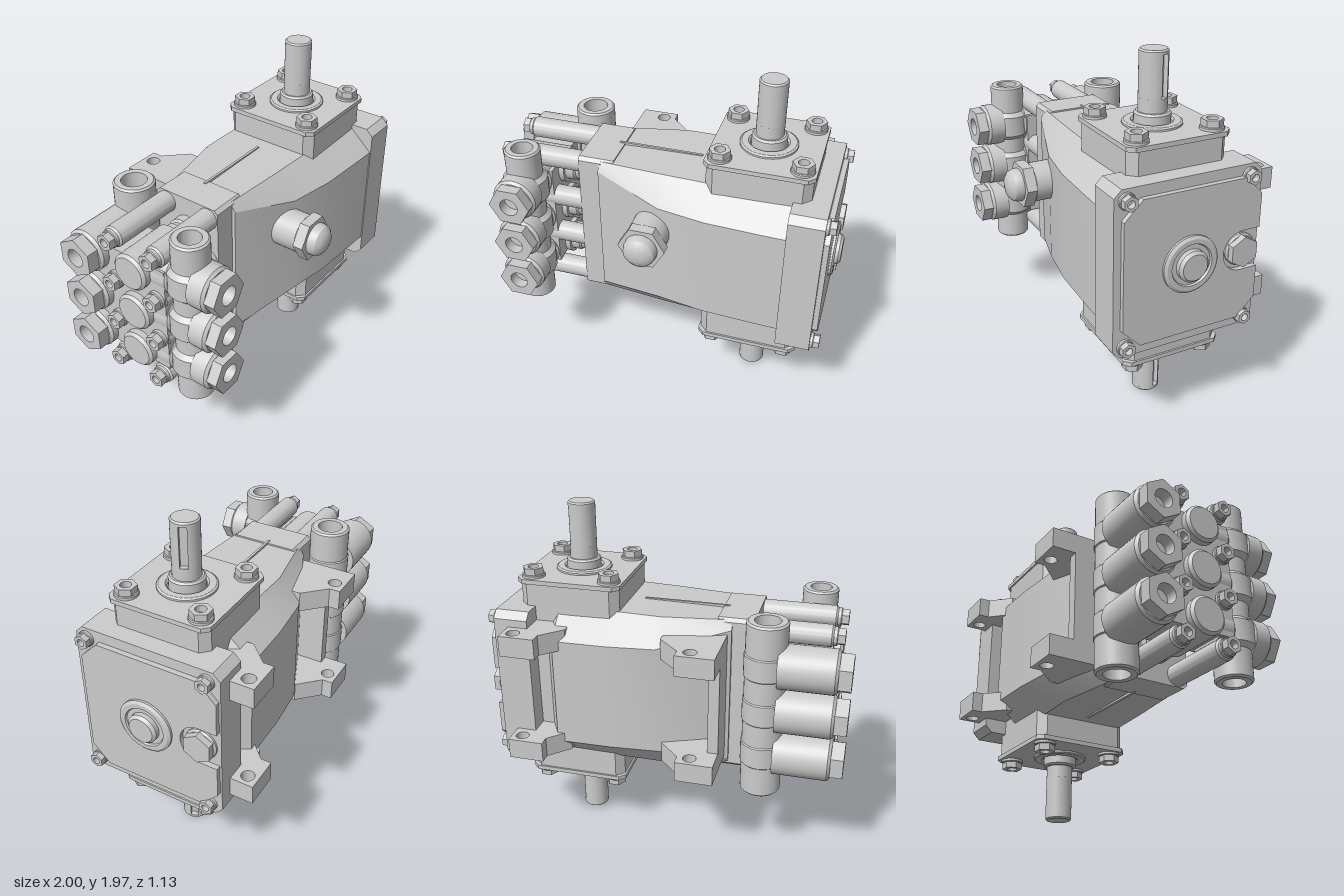
import * as THREE from 'three';
import { toCreasedNormals } from 'three/addons/utils/BufferGeometryUtils.js';

const CY = 0.983; // mid height, the pump is symmetric about it
const ROWS = [CY - 0.26, CY, CY + 0.26];
const mat = new THREE.MeshStandardMaterial({ color: 0xcccccc, side: THREE.DoubleSide });
const UP = new THREE.Vector3(0, 1, 0);
const DIR = { x: [1, 0, 0], '-x': [-1, 0, 0], y: [0, 1, 0], '-y': [0, -1, 0], z: [0, 0, 1] };

function add(parent, name, geo, pos = [0, 0, 0], dir = 'y') {
  const m = new THREE.Mesh(toCreasedNormals(geo, 0.5), mat);
  m.name = name;
  m.position.set(...pos);
  m.quaternion.setFromUnitVectors(UP, new THREE.Vector3(...DIR[dir]));
  parent.add(m);
  return m;
}
const lathe = (pts, seg = 36) => new THREE.LatheGeometry(pts.map(p => new THREE.Vector2(...p)), seg);
const rod = (r, h, c = 0.01) => lathe([[0, 0], [r, 0], [r, h - c], [r - c, h], [0, h]]);
const pipe = (ro, ri, h, c = 0.01) =>
  lathe([[ri, 0], [ro - c, 0], [ro, c], [ro, h - c], [ro - c, h], [ri, h], [ri, 0]]);
const box = (x0, x1, y0, y1, z0, z1) =>
  new THREE.BoxGeometry(x1 - x0, y1 - y0, z1 - z0).translate((x0 + x1) / 2, (y0 + y1) / 2, (z0 + z1) / 2);
const shapeOf = pts => new THREE.Shape(pts.map(p => new THREE.Vector2(...p)));
const circleHole = (x, y, r) => new THREE.Path().absarc(x, y, r, 0, Math.PI * 2, true);
const extrude = (shape, depth) =>
  new THREE.ExtrudeGeometry(shape, { depth, bevelEnabled: false, curveSegments: 16 });
const prismY = (shape, h) => extrude(shape, h).rotateX(-Math.PI / 2); // shape holds (x, -z)
const prismX = (shape, h) => extrude(shape, h).rotateY(Math.PI / 2);  // shape holds (-z, y)

// Rectangle with cut corners
const cutRect = (x0, x1, y0, y1, c) => shapeOf([[x0 + c, y0], [x1 - c, y0], [x1, y0 + c], [x1, y1 - c],
  [x1 - c, y1], [x0 + c, y1], [x0, y1 - c], [x0, y0 + c]]);

// Hexagon head, optionally with a round socket
function hex(r, h, socket = 0) {
  const s = shapeOf([0, 1, 2, 3, 4, 5].map(i => [r * Math.cos(i * Math.PI / 3), r * Math.sin(i * Math.PI / 3)]));
  if (socket) s.holes.push(circleHole(0, 0, socket));
  return prismY(s, h);
}

function bolt(parent, name, pos, dir, r = 0.055, h = 0.07) {
  const g = new THREE.Group();
  g.name = name;
  g.position.set(...pos);
  g.quaternion.setFromUnitVectors(UP, new THREE.Vector3(...DIR[dir]));
  add(g, 'washer', rod(r * 1.08, h * 0.35, 0.004));
  add(g, 'boltHead', hex(r, h, r * 0.5));
  parent.add(g);
}

// Octagonal sections [x, zBack, zFront, halfHeight, cutY, cutZ] joined along x
function loft(sections) {
  const pos = [], idx = [], n = sections.length;
  for (const [x, b, f, h, cy, cz] of sections) {
    const ring = [[h, f - cz], [h - cy, f], [cy - h, f], [-h, f - cz], [-h, b + cz], [cy - h, b], [h - cy, b], [h, b + cz]];
    for (const [y, z] of ring) pos.push(x, CY + y, z);
  }
  for (let s = 0; s < n - 1; s++) for (let j = 0; j < 8; j++) {
    const a = s * 8 + j, b = s * 8 + (j + 1) % 8;
    idx.push(a, b, b + 8, a, b + 8, a + 8);
  }
  for (let j = 1; j < 7; j++) idx.push(0, j + 1, j, (n - 1) * 8, (n - 1) * 8 + j, (n - 1) * 8 + j + 1);
  const g = new THREE.BufferGeometry();
  g.setAttribute('position', new THREE.Float32BufferAttribute(pos, 3));
  g.setIndex(idx);
  return g;
}

function crankcase(root) {
  add(root, 'crankcase', loft([
    [-0.35, -0.24, 0.2, 0.445, 0.05, 0.03],
    [0.03, -0.4, 0.32, 0.452, 0.14, 0.12],
    [0.3, -0.425, 0.365, 0.455, 0.145, 0.15],
    [0.6, -0.43, 0.38, 0.455, 0.145, 0.16],
    [0.66, -0.33, 0.382, 0.455, 0.145, 0.16],
    [0.76, -0.33, 0.385, 0.455, 0.145, 0.16],
  ]));
  add(root, 'headFlange', prismX(cutRect(-0.18, 0.225, CY - 0.455, CY + 0.455, 0.02), 0.2), [-0.47, 0, 0]);
  add(root, 'rearFlange', prismX(cutRect(-0.39, 0.44, CY - 0.455, CY + 0.455, 0.04), 0.19), [0.73, 0, 0]);
  add(root, 'rearWall', box(-0.33, -0.27, 0.62, 1.345, -0.43, -0.18));
  for (const s of [1, -1]) add(root, 'castingRib', box(-0.3, 0.18, CY + s * 0.452 - 0.008, CY + s * 0.452 + 0.008, -0.047, -0.033));

  // Mounting feet with gussets
  const feet = [
    { pts: [[-0.33, 0.2], [-0.33, 0.57], [-0.12, 0.57], [-0.12, 0.51], [0, 0.39], [0, 0.2]], hole: -0.19 },
    { pts: [[0.84, 0.2], [0.84, 0.57], [0.64, 0.57], [0.64, 0.51], [0.53, 0.4], [0.53, 0.2]], hole: 0.78 },
  ];
  for (const f of feet) for (const y of [0.61, 1.24]) {
    const s = shapeOf(f.pts);
    s.holes.push(circleHole(f.hole, 0.51, 0.037));
    add(root, 'mountingFoot', prismY(s, 0.116), [0, y, 0]);
  }

  // Breather cap on the front
  add(root, 'breatherBoss', rod(0.11, 0.2), [-0.01, 1.14, 0.23], 'z');
  add(root, 'breatherNut', hex(0.13, 0.06), [-0.01, 1.14, 0.425], 'z');
  add(root, 'breatherDome', lathe([[0, 0], [0.092, 0], [0.092, 0.025], [0.084, 0.05], [0.06, 0.07], [0.03, 0.078], [0, 0.08]]),
    [-0.01, 1.14, 0.482], 'z');
}

function endCover(root) {
  // Octagonal plate with a round notch for the drain plug
  const s = new THREE.Shape();
  s.moveTo(-0.25, 0.59);
  for (const p of [[0.33, 0.59], [0.43, 0.69], [0.43, CY - 0.11]]) s.lineTo(...p);
  s.lineTo(0.33, CY - 0.11);
  s.absarc(0.33, CY, 0.11, -Math.PI / 2, Math.PI / 2, true);
  for (const p of [[0.43, CY + 0.11], [0.43, 1.28], [0.33, 1.38], [-0.25, 1.38], [-0.35, 1.28], [-0.35, 0.69]]) s.lineTo(...p);
  add(root, 'endCover', prismX(s, 0.03), [0.918, 0, 0]);
  add(root, 'sightRing', lathe([[0, 0], [0.155, 0], [0.155, 0.02], [0.14, 0.03], [0.115, 0.03], [0.11, 0.02], [0, 0.02]]), [0.94, CY, -0.02], 'x');
  add(root, 'sightGlass', rod(0.085, 0.05, 0.015), [0.95, CY, -0.02], 'x');
  add(root, 'drainWasher', rod(0.088, 0.02), [0.92, CY, -0.33], 'x');
  add(root, 'drainPlug', hex(0.085, 0.055), [0.92, CY, -0.33], 'x');
  for (const y of [CY - 0.395, CY + 0.395]) for (const z of [0.325, -0.367])
    bolt(root, 'coverBolt', [0.92, y, z], 'x', 0.04, 0.05);
}

function shaftEnds(root) {
  const r = 0.075, w = 0.021, a = Math.asin(w / r);
  for (const s of [1, -1]) {
    const g = new THREE.Group();
    g.name = s > 0 ? 'upperShaftEnd' : 'lowerShaftEnd';
    g.position.set(0.54, CY, -0.028);
    if (s < 0) g.rotation.x = Math.PI;
    add(g, 'bearingHousing', prismY(cutRect(-0.28, 0.28, -0.28, 0.28, 0.045), 0.26), [0, 0.33, 0]);
    add(g, 'bearingCap', prismY(cutRect(-0.29, 0.29, -0.29, 0.29, 0.035), 0.025), [0, 0.58, 0]);
    add(g, 'sealRing', lathe([[0.1, 0], [0.155, 0], [0.155, 0.015], [0.145, 0.022], [0.11, 0.022], [0.1, 0.01]]), [0, 0.6, 0]);
    add(g, 'shaftCollar', rod(0.095, 0.12), [0, 0.55, 0]);
    add(g, 'shaft', rod(r, 0.14, 0.001), [0, 0.6, 0]);
    // Keyed length of the shaft
    const k = new THREE.Shape();
    k.absarc(0, 0, r, a, Math.PI * 2 - a, false);
    k.lineTo(0.046, -w);
    k.lineTo(0.046, w);
    add(g, 'keyedShaft', prismY(k, 0.222), [0, 0.739, 0]).rotation.y = s * 0.4;
    add(g, 'shaftTip', rod(r, 0.023, 0.008), [0, 0.96, 0]);
    for (const x of [-0.215, 0.215]) for (const z of [-0.213, 0.213]) bolt(g, 'housingBolt', [x, 0.603, z], 'y', 0.058, 0.055);
    root.add(g);
  }
}

function pumpHead(root) {
  add(root, 'headBlock', box(-0.88, -0.64, 0.66, 1.305, -0.3, 0.17));
  add(root, 'dischargeManifold', pipe(0.1, 0.06, 1.01), [-0.765, 0.478, 0.25]);
  add(root, 'inletManifold', pipe(0.112, 0.07, 1.01), [-0.55, 0.478, -0.31]);
  for (const y of ROWS) {
    // Plunger barrel with rings
    add(root, 'plungerBarrel', rod(0.105, 0.32, 0.015), [-0.61, y, -0.02], '-x');
    add(root, 'plungerSleeve', lathe([[0, 0], [0.085, 0], [0.085, 0.07], [0.075, 0.08], [0.075, 0.1], [0.09, 0.11], [0.09, 0.17], [0, 0.17]]),
      [-0.63, y, -0.02], 'x');
    // Discharge valves face the front
    add(root, 'valveCollar', pipe(0.125, 0.06, 0.18, 0.03), [-0.765, y - 0.09, 0.25]);
    add(root, 'dischargeValve', rod(0.125, 0.105, 0.015), [-0.765, y, 0.315], 'z');
    add(root, 'dischargeNeck', rod(0.12, 0.1), [-0.765, y, 0.085], 'z');
    add(root, 'dischargePlug', hex(0.118, 0.062, 0.052), [-0.765, y, 0.418], 'z');
    // Inlet valves face the end
    add(root, 'inletValve', rod(0.122, 0.31, 0.015), [-0.622, y, -0.32], '-x');
    add(root, 'inletCollar', pipe(0.118, 0.07, 0.16, 0.02), [-0.55, y - 0.08, -0.31]);
    add(root, 'inletPlug', hex(0.112, 0.07, 0.052), [-0.93, y, -0.32], '-x');
  }
  // Stud tubes and their bolts
  for (let i = 0; i < 4; i++) for (const z of [0.115, -0.16]) {
    const y = CY + (i - 1.5) * 0.26;
    add(root, 'studTube', rod(0.06, 0.42), [-0.46, y, z], '-x');
    bolt(root, 'headBolt', [-0.88, y, z], '-x', 0.047, 0.06);
  }
}

export function createModel() {
  const root = new THREE.Group();
  root.name = 'plungerPump';
  crankcase(root);
  endCover(root);
  shaftEnds(root);
  pumpHead(root);
  return root;
}
